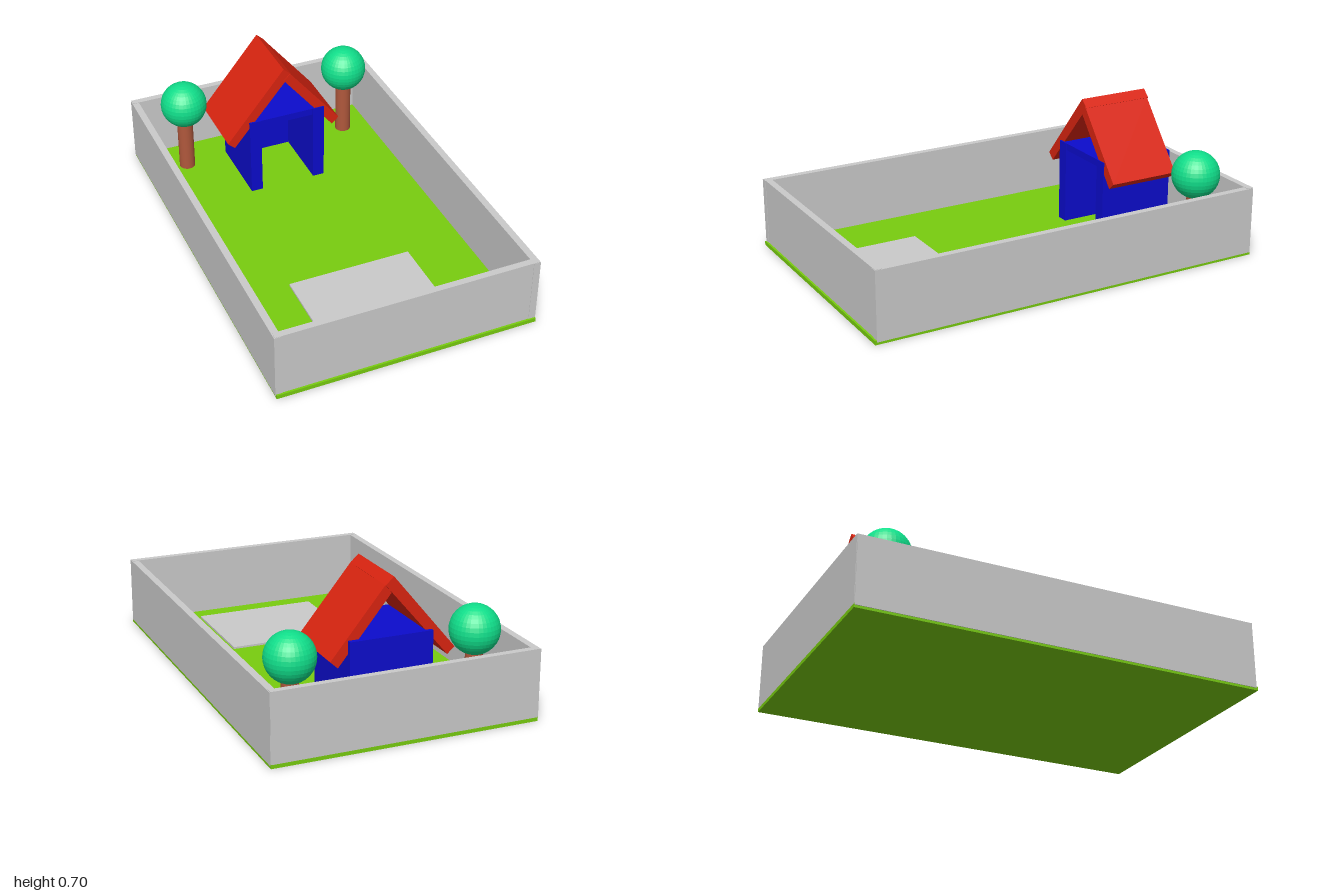
import * as THREE from 'three';

const mat = (name, color, extra = {}) => {
  const m = new THREE.MeshStandardMaterial({ color, ...extra });
  m.name = name;
  return m;
};

export function createModel() {
  const root = new THREE.Group();
  root.name = 'walledGarden';

  const grass = mat('grass green', 0x78cc0f);
  const stone = mat('stone grey', 0xcacaca);
  const blue = mat('house blue', 0x0c0ccc);
  const red = mat('roof red', 0xda2410);
  const bark = mat('bark brown', 0xb0583c);
  const leaf = mat('leaf green', 0x10de8a, { flatShading: true });

  const add = (parent, name, geometry, material, x = 0, y = 0, z = 0) => {
    const mesh = new THREE.Mesh(geometry, material);
    mesh.name = name;
    mesh.position.set(x, y, z);
    parent.add(mesh);
    return mesh;
  };
  // Box given by its minimum and maximum corners
  const box = (parent, name, material, [x0, y0, z0], [x1, y1, z1]) =>
    add(parent, name, new THREE.BoxGeometry(x1 - x0, y1 - y0, z1 - z0), material,
      (x0 + x1) / 2, (y0 + y1) / 2, (z0 + z1) / 2);

  // Lawn and paved pad
  box(root, 'lawn', grass, [-0.64, 0, -1], [0.64, 0.02, 1]);
  box(root, 'pavedPad', stone, [-0.31, 0.015, 0.34], [0.31, 0.03, 0.85]);

  // Boundary walls
  const walls = new THREE.Group();
  walls.name = 'boundaryWalls';
  root.add(walls);
  box(walls, 'frontWall', stone, [-0.638, 0.018, 0.957], [0.638, 0.345, 0.99]);
  box(walls, 'backWall', stone, [-0.638, 0.018, -1], [0.638, 0.345, -0.968]);
  box(walls, 'leftWall', stone, [0.607, 0.012, -0.998], [0.641, 0.343, 0.992]);
  box(walls, 'rightWall', stone, [-0.643, 0.012, -0.998], [-0.609, 0.343, 0.992]);

  // House: three walls, open front, flat ceiling
  const house = new THREE.Group();
  house.name = 'house';
  root.add(house);
  for (const s of [-1, 1]) {
    const xs = [s * 0.14, s * 0.2].sort((a, b) => a - b);
    box(house, s > 0 ? 'leftHouseWall' : 'rightHouseWall', blue,
      [xs[0], 0.02, -0.82], [xs[1], 0.435, -0.43]);
  }
  box(house, 'backHouseWall', blue, [-0.14, 0.02, -0.82], [0.14, 0.4, -0.77]);
  box(house, 'ceiling', blue, [-0.14, 0.4, -0.82], [0.14, 0.435, -0.432]);

  // Gable roof: two leaning slabs, one overlapping the other at the ridge
  const slab = (name, points, z0, z1) => {
    const shape = new THREE.Shape(points.map(([x, y]) => new THREE.Vector2(x, y)));
    const geometry = new THREE.ExtrudeGeometry(shape, { depth: z1 - z0, bevelEnabled: false });
    add(house, name, geometry, red, 0, 0, z0);
  };
  slab('rightRoofSlab', [[-0.315, 0.337], [-0.28, 0.305], [0.027, 0.664], [-0.012, 0.7]], -0.803, -0.438);
  slab('leftRoofSlab', [[0.247, 0.315], [0.283, 0.348], [0.022, 0.668], [-0.012, 0.635]], -0.797, -0.435);

  // Trees
  for (const [name, x, z] of [['rightTree', -0.425, -0.785], ['leftTree', 0.465, -0.785]]) {
    const tree = new THREE.Group();
    tree.name = name;
    tree.position.set(x, 0, z);
    root.add(tree);
    add(tree, 'trunk', new THREE.CylinderGeometry(0.04, 0.04, 0.3, 24), bark, 0, 0.165, 0);
    add(tree, 'crown', new THREE.SphereGeometry(0.117, 36, 18), leaf, 0, 0.397, 0);
  }

  return root;
}
